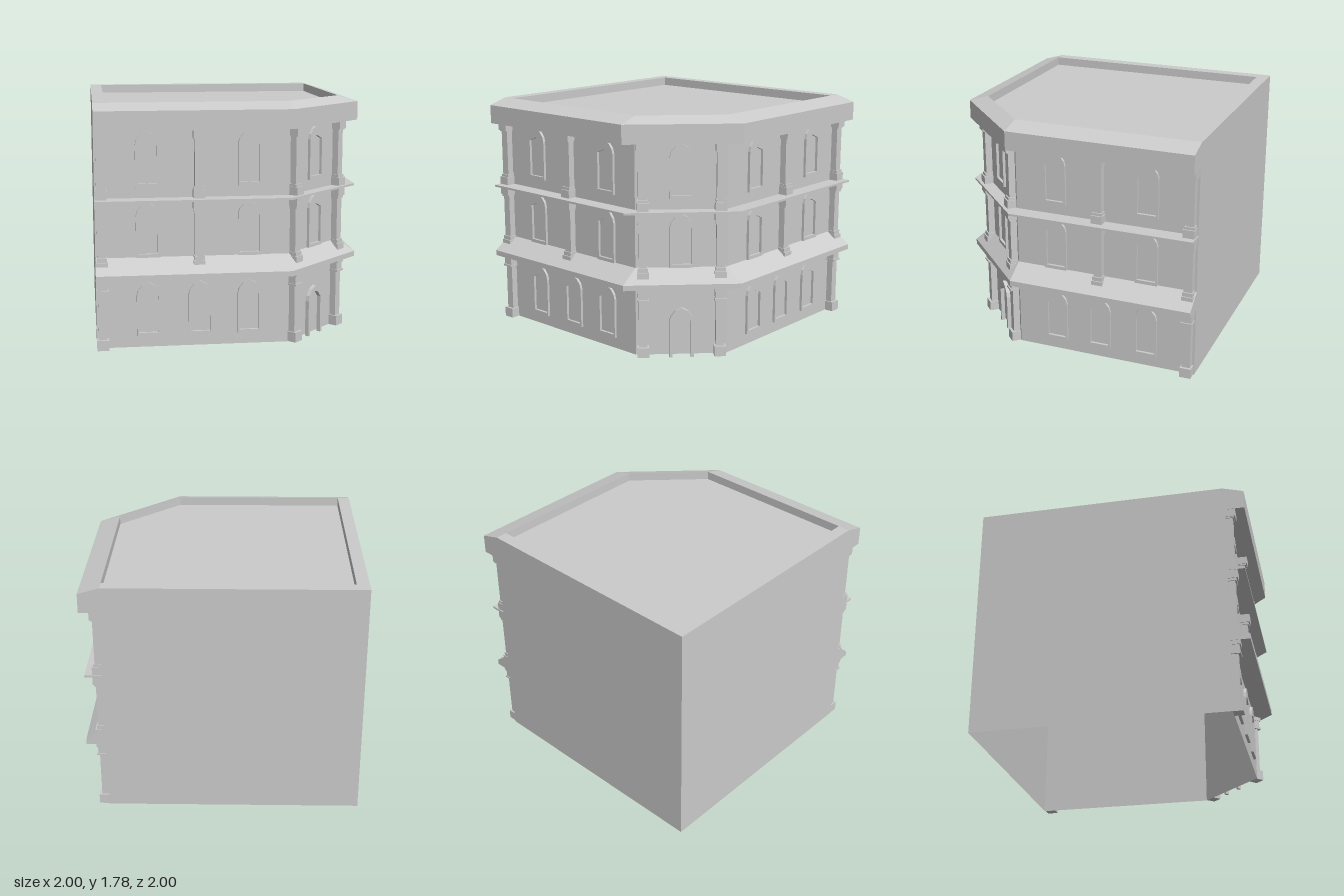
import * as THREE from 'three';

const material = new THREE.MeshStandardMaterial({ color: 0xcccccc, flatShading: true, side: THREE.DoubleSide });
const WALL = 0.86;

function add(parent, geometry, name) {
  const mesh = new THREE.Mesh(geometry, material);
  mesh.name = name;
  parent.add(mesh);
  return mesh;
}

// Plan of the block: square with its front left corner cut off.
// f = front and left face offset, c = start of the cut, b = back and right face offset.
const plan = (f, c, b = -1) => [[b, b], [b, f], [c, f], [f, c], [f, b]];

// Skin between stacked plan rings [points, y]; from..to picks the sides.
function skin(rings, from = 0, to = 5) {
  const pos = [];
  const v = ([pts, y], i) => [pts[i % 5][0], y, pts[i % 5][1]];
  for (let r = 0; r < rings.length - 1; r++) {
    for (let i = from; i < to; i++) {
      const a = v(rings[r], i), b = v(rings[r], i + 1);
      const c = v(rings[r + 1], i + 1), d = v(rings[r + 1], i);
      pos.push(...a, ...b, ...c, ...a, ...c, ...d);
    }
  }
  // End caps where the strip is open
  if (to - from < 5) {
    for (let r = 1; r < rings.length - 1; r++) {
      pos.push(...v(rings[0], from), ...v(rings[r], from), ...v(rings[r + 1], from));
      pos.push(...v(rings[0], to), ...v(rings[r + 1], to), ...v(rings[r], to));
    }
  }
  const g = new THREE.BufferGeometry();
  g.setAttribute('position', new THREE.Float32BufferAttribute(pos, 3));
  g.computeVertexNormals();
  return g;
}

// Symmetric outline from its right half, listed bottom to top, ending on the axis
function outline(half) {
  const left = half.slice(0, -1).reverse().map(([x, y]) => [-x, y]);
  return [...half, ...left].map(([x, y]) => new THREE.Vector2(x, y));
}

const extrude = (shape, depth) => new THREE.ExtrudeGeometry(shape, { depth, bevelEnabled: false });

// Arched window surround with a pointed opening
const windowShape = new THREE.Shape(outline([[0.085, 0], [0.085, 0.3], [0.075, 0.338], [0.045, 0.375], [0, 0.4]]));
windowShape.holes.push(new THREE.Path(outline([[0.07, 0.025], [0.07, 0.295], [0, 0.325]])));
const windowGeometry = extrude(windowShape, 0.02);

// Door surround, open at the bottom
const doorOuter = outline([[0.09, 0], [0.09, 0.27], [0.08, 0.31], [0.045, 0.355], [0, 0.378]]);
const doorInner = outline([[0.068, 0], [0.068, 0.28], [0.035, 0.32], [0, 0.335]]);
const doorGeometry = extrude(new THREE.Shape([...doorOuter, ...doorInner.reverse()]), 0.03);

// Column pieces per storey: bottom, top, width, depth
const storeys = [
  [[0.015, 0.09, 0.085, 0.07], [0.09, 0.44, 0.062, 0.05], [0.44, 0.455, 0.085, 0.07],
    [0.455, 0.51, 0.075, 0.06], [0.51, 0.54, 0.085, 0.07]],
  [[0.59, 0.66, 0.085, 0.07], [0.66, 0.69, 0.075, 0.06], [0.69, 1.01, 0.062, 0.05],
    [1.01, 1.03, 0.075, 0.06], [1.03, 1.095, 0.085, 0.07]],
  [[1.11, 1.17, 0.085, 0.07], [1.17, 1.19, 0.075, 0.06], [1.19, 1.53, 0.062, 0.05],
    [1.53, 1.54, 0.075, 0.06], [1.54, 1.6, 0.085, 0.07]],
];
const windowBase = [0.1, 0.68, 1.19];

function addColumn(parent, x, storey) {
  const column = new THREE.Group();
  column.name = 'column';
  storeys[storey].forEach(([y0, y1, w, d]) => {
    add(column, new THREE.BoxGeometry(w, y1 - y0, d), 'columnPiece').position.set(0, (y0 + y1) / 2, d / 2);
  });
  column.position.x = x;
  parent.add(column);
}

// One decorated face: lists of window and column positions for each storey
function addFacade(parent, name, position, angle, windows, columns) {
  const facade = new THREE.Group();
  facade.name = name;
  facade.position.set(...position);
  facade.rotation.y = angle;
  for (let s = 0; s < 3; s++) {
    windows[s].forEach((x) => add(facade, windowGeometry, 'window').position.set(x, windowBase[s], 0));
    columns[s].forEach((x) => addColumn(facade, x, s));
  }
  parent.add(facade);
  return facade;
}

export function createModel() {
  const model = new THREE.Group();
  model.name = 'cornerBuilding';

  // Walls, open underneath
  const wall = plan(WALL, 0.39);
  add(model, skin([[wall, 0.015], [wall, 1.6]]), 'walls');

  // Cornice and parapet
  const outer = plan(1, 0.4), crest = plan(0.845, 0.39), inner = plan(0.845, 0.39, -0.91);
  add(model, skin([[wall, 1.6], [outer, 1.6], [outer, 1.74], [crest, 1.785], [inner, 1.785], [inner, 1.72]]), 'cornice');

  // Sunken flat roof
  const roof = new THREE.ShapeGeometry(new THREE.Shape(inner.map(([x, z]) => new THREE.Vector2(x, -z))));
  roof.rotateX(-Math.PI / 2);
  add(model, roof, 'roof').position.y = 1.72;

  // Sloped canopy above the ground floor and thin ledge above the next
  add(model, skin([[wall, 0.54], [outer, 0.54], [outer, 0.58], [wall, 0.68]], 1, 4), 'canopy');
  const ledge = plan(0.985, 0.4);
  add(model, skin([[wall, 1.095], [ledge, 1.095], [ledge, 1.11], [wall, 1.11]], 1, 4), 'ledge');

  // Decorated faces
  addFacade(model, 'frontFacade', [0, 0, WALL], 0,
    [[-0.625, -0.25, 0.108], [-0.625, 0.108], [-0.625, 0.108]],
    [[-0.955], [-0.955, -0.26], [-0.955, -0.26]]);
  addFacade(model, 'sideFacade', [WALL, 0, 0], Math.PI / 2,
    [[-0.08, 0.265, 0.625], [-0.08, 0.625], [-0.08, 0.625]],
    [[0.95], [0.95, 0.265], [0.95, 0.265]]);
  const corner = addFacade(model, 'cornerFacade', [0.625, 0, 0.625], Math.PI / 4,
    [[], [0], [0]],
    [[-0.28, 0.28], [-0.28, 0.28], [-0.28, 0.28]]);
  add(corner, doorGeometry, 'doorFrame');

  return model;
}
